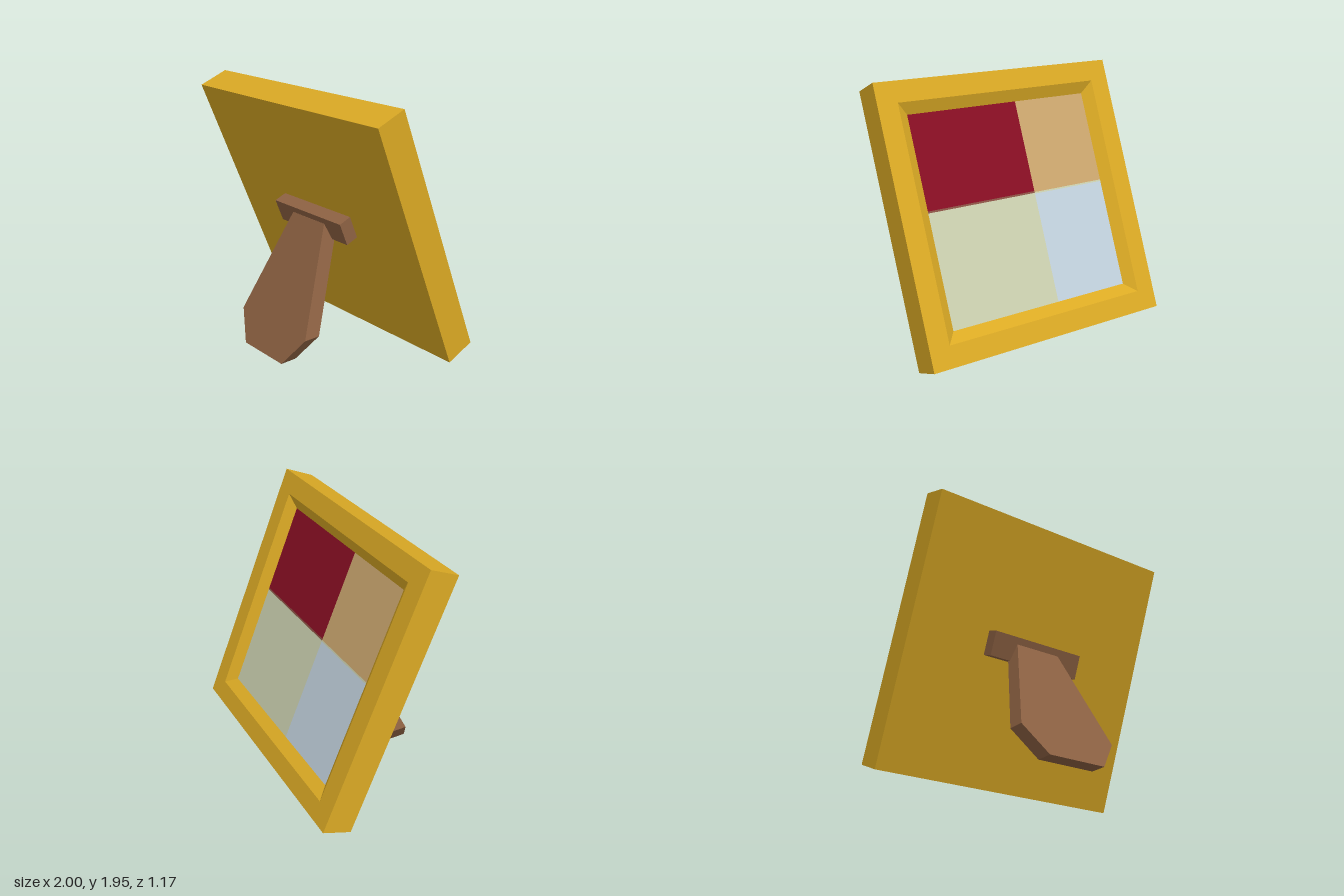
import * as THREE from 'three';

const mat = (name, color) => {
  const m = new THREE.MeshStandardMaterial({ color });
  m.name = name;
  return m;
};

export function createModel() {
  const gold = mat('gold', 0xdaa924);
  const wood = mat('brown wood', 0x8e6243);
  const red = mat('dark red', 0x880e23);
  const tan = mat('tan', 0xcba66e);
  const sage = mat('pale sage', 0xcacfaf);
  const blue = mat('pale blue', 0xc1d1dc);
  const rust = mat('rust', 0x8a5244);

  const model = new THREE.Group();
  model.name = 'pictureStand';
  const add = (parent, name, geometry, material) => {
    const mesh = new THREE.Mesh(geometry, material);
    mesh.name = name;
    parent.add(mesh);
    return mesh;
  };

  // Leaning group: everything fixed to the tilted frame
  const leaning = new THREE.Group();
  leaning.name = 'leaningFrame';
  leaning.position.set(0, 0.977, -0.092);
  leaning.rotation.x = 0.391;
  model.add(leaning);

  // Square frame with a solid back and a bevelled opening: a four-sided lathe
  const profile = [[0, -0.12], [1, -0.12], [1, 0.12], [0.845, 0.12], [0.765, 0.06]]
    .map(([half, h]) => new THREE.Vector2(half * Math.SQRT2, h));
  const frame = new THREE.LatheGeometry(profile, 4).toNonIndexed();
  frame.rotateY(Math.PI / 4).rotateX(-Math.PI / 2);
  frame.computeVertexNormals();
  add(leaning, 'frame', frame, gold);

  // Picture panels, facing -z inside the opening: x and y extents
  const edge = 0.767, split = -0.137;
  const panels = [
    ['redPanel', red, split, edge, 0.078, edge],
    ['redPanelLowerEdge', rust, split, edge, 0.064, 0.078],
    ['sagePanel', sage, split, edge, -edge, 0.064],
    ['tanPanel', tan, -edge, split, 0.07, edge],
    ['bluePanelUpperEdge', sage, -edge, split, 0.058, 0.07],
    ['bluePanel', blue, -edge, split, -edge, 0.058],
  ];
  for (const [name, material, x0, x1, y0, y1] of panels) {
    const g = new THREE.PlaneGeometry(x1 - x0, y1 - y0).rotateY(Math.PI);
    add(leaning, name, g, material).position.set((x0 + x1) / 2, (y0 + y1) / 2, -0.06);
  }

  // Hinge block holding the leg
  add(leaning, 'hingeBlock', new THREE.BoxGeometry(0.76, 0.183, 0.11), wood)
    .position.set(0, 0.045, 0.167);

  // Support leg: six-sided plate sheared so that its foot lies flat
  const outline = [[-0.225, 0], [0.225, 0], [0.383, 0.212], [0.182, 0.97], [-0.182, 0.97], [-0.383, 0.212]]
    .map(([x, y]) => new THREE.Vector2(x, y));
  const leg = new THREE.ExtrudeGeometry(new THREE.Shape(outline), { depth: 0.128, bevelEnabled: false });
  const p = leg.attributes.position;
  for (let i = 0; i < p.count; i++) p.setZ(i, p.getZ(i) + 0.458 - 0.453 * p.getY(i));
  leg.computeVertexNormals();
  add(model, 'supportLeg', leg, wood);

  return model;
}
